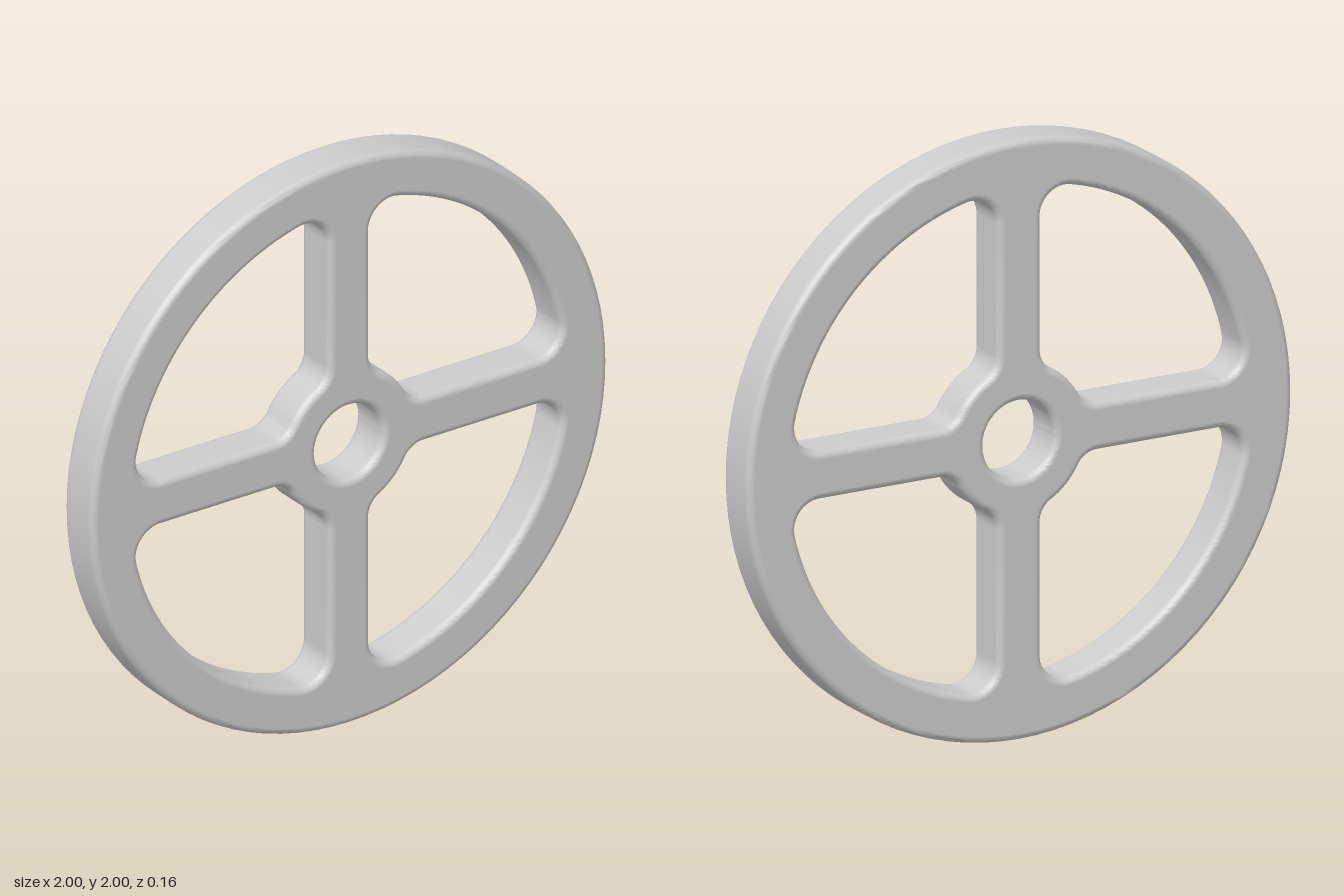
import * as THREE from 'three';
import { toCreasedNormals } from 'three/addons/utils/BufferGeometryUtils.js';

const DEPTH = 0.16, BEVEL = 0.025;
const RIM_INNER = 0.84, HUB = 0.25, BORE = 0.13, SPOKE = 0.08; // SPOKE is the half width
const RIM_FILLET = 0.09, HUB_FILLET = 0.08;

// One opening between two spokes, with filleted corners, turned by angle t
function opening(t) {
  const path = new THREE.Path();
  const arc = (dist, dir, r, a0, a1, cw = false) =>
    path.absarc(dist * Math.cos(dir + t), dist * Math.sin(dir + t), r, a0 + t, a1 + t, cw);
  const rimDist = RIM_INNER - RIM_FILLET, hubDist = HUB + HUB_FILLET;
  const a = Math.asin((SPOKE + RIM_FILLET) / rimDist);
  const b = Math.asin((SPOKE + HUB_FILLET) / hubDist);
  const q = Math.PI / 2;
  arc(rimDist, a, RIM_FILLET, -q, a);
  arc(0, 0, RIM_INNER, a, q - a);
  arc(rimDist, q - a, RIM_FILLET, q - a, Math.PI);
  arc(hubDist, q - b, HUB_FILLET, Math.PI, Math.PI + q - b);
  arc(0, 0, HUB, q - b, b, true);
  arc(hubDist, b, HUB_FILLET, Math.PI + b, 3 * q);
  path.closePath();
  return path;
}

export function createModel() {
  const group = new THREE.Group();
  group.name = 'spokedWheel';

  // Rim, spokes and hub are one plate with four openings and a bore
  const outline = new THREE.Shape().absarc(0, 0, 1, 0, Math.PI * 2);
  for (let i = 0; i < 4; i++) outline.holes.push(opening(i * Math.PI / 2));
  outline.holes.push(new THREE.Path().absarc(0, 0, BORE, 0, Math.PI * 2));

  const extruded = new THREE.ExtrudeGeometry(outline, {
    depth: DEPTH - 2 * BEVEL, curveSegments: 48,
    bevelEnabled: true, bevelThickness: BEVEL, bevelSize: BEVEL,
    bevelOffset: -BEVEL, bevelSegments: 4,
  });
  extruded.translate(0, 0, BEVEL - DEPTH / 2);
  const geometry = toCreasedNormals(extruded, 0.7);

  // Keep the faces flat and the walls straight where they meet the rounded edges
  const pos = geometry.attributes.position, nor = geometry.attributes.normal;
  const n = new THREE.Vector3();
  for (let i = 0; i < pos.count; i++) {
    const z = pos.getZ(i);
    n.fromBufferAttribute(nor, i);
    if (Math.abs(z) > DEPTH / 2 - 1e-4) n.set(0, 0, Math.sign(z));
    else if (Math.abs(z) < DEPTH / 2 - BEVEL + 1e-4) n.setZ(0).normalize();
    nor.setXYZ(i, n.x, n.y, n.z);
  }

  const wheel = new THREE.Mesh(geometry, new THREE.MeshStandardMaterial({ color: 0xcccccc }));
  wheel.name = 'wheel';
  wheel.position.y = 1;
  group.add(wheel);
  return group;
}
